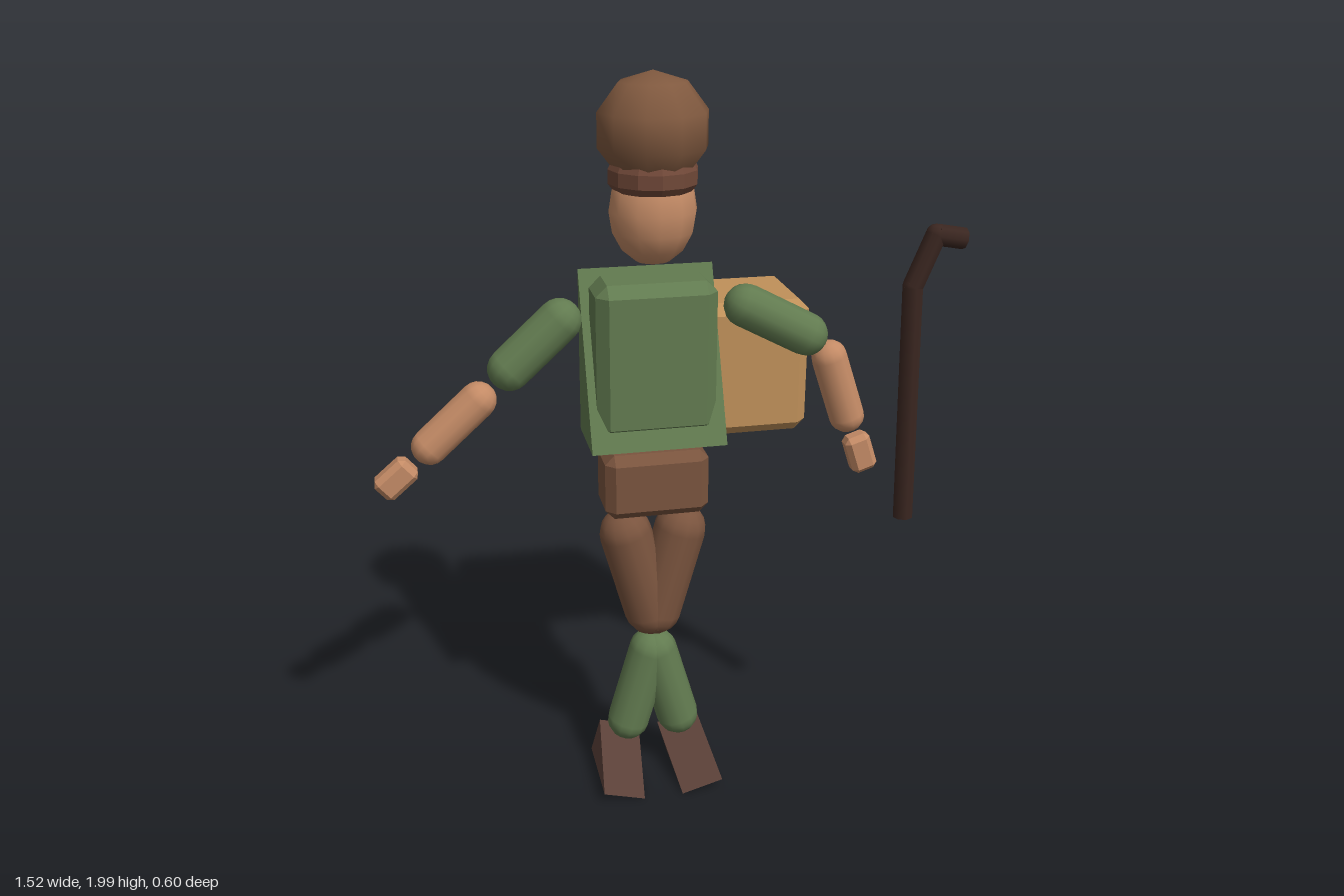
import * as THREE from 'three';
import { ConvexGeometry } from 'three/addons/geometries/ConvexGeometry.js';

const GREEN = 0x627b50, BROWN = 0x7a543e, SKIN = 0xc48b66, HAT = 0x80593f;
const BAND = 0x704838, BOOT = 0x5a4038, TAN = 0xc0915a, DARK = 0x3a2620;
const CX = -0.027, CZ = 0.14; // body axis

export function createModel() {
  const group = new THREE.Group();

  function add(name, geometry, color, x = 0, y = 0, z = 0, flatShading = false) {
    const mesh = new THREE.Mesh(geometry, new THREE.MeshStandardMaterial({ color, flatShading }));
    mesh.name = name;
    mesh.position.set(x, y, z);
    group.add(mesh);
    return mesh;
  }

  // Box with chamfered edges
  function chamferBox(w, h, d, b) {
    const points = [];
    for (const i of [-1, 1]) for (const j of [-1, 1]) for (const k of [-1, 1]) {
      const x = i * w / 2, y = j * h / 2, z = k * d / 2;
      points.push(
        new THREE.Vector3(x, y - j * b, z - k * b),
        new THREE.Vector3(x - i * b, y, z - k * b),
        new THREE.Vector3(x - i * b, y - j * b, z));
    }
    return new ConvexGeometry(points);
  }

  // Ramp, tall at the back (z = 0), thin edge at the front (z = d), bottom at y = 0
  function wedge(w, h, d) {
    const s = new THREE.Shape([
      new THREE.Vector2(0, 0), new THREE.Vector2(d, 0), new THREE.Vector2(0, h)]);
    return new THREE.ExtrudeGeometry(s, { depth: w, bevelEnabled: false })
      .translate(0, 0, -w / 2).rotateY(-Math.PI / 2);
  }

  // Capsule or cylinder between two points in a plane of constant z
  function rod(name, color, r, x1, y1, x2, y2, z = CZ, capped = true) {
    const length = Math.hypot(x2 - x1, y2 - y1);
    const geometry = capped
      ? new THREE.CapsuleGeometry(r, length, 5, 12)
      : new THREE.CylinderGeometry(r, r, length, 8);
    const mesh = add(name, geometry, color, (x1 + x2) / 2, (y1 + y2) / 2, z);
    mesh.rotation.z = Math.atan2(y2 - y1, x2 - x1) - Math.PI / 2;
    return mesh;
  }

  // Head and cap
  add('head', new THREE.SphereGeometry(1, 12, 8), SKIN, CX, 1.66, CZ).scale.set(0.113, 0.14, 0.103);
  add('capCrown', new THREE.SphereGeometry(1, 10, 5), HAT, CX, 1.86, CZ).scale.set(0.147, 0.14, 0.147);
  const bandProfile = [[0, 1.712], [0.1, 1.712], [0.114, 1.73], [0.114, 1.765], [0.104, 1.785], [0, 1.785]];
  add('capBand', new THREE.LatheGeometry(bandProfile.map(p => new THREE.Vector2(...p)), 12),
    BAND, CX, 0, CZ, true);

  // Torso, sloped coat and hips
  add('torso', chamferBox(0.316, 0.41, 0.16, 0.03), GREEN, CX, 1.28, 0.142, true);
  add('coat', wedge(0.358, 0.443, 0.195), GREEN, CX, 1.05, 0.045, true);
  add('hips', chamferBox(0.28, 0.182, 0.162, 0.025), BROWN, CX, 0.935, CZ, true);

  // Legs and feet, mirrored about the body axis
  for (const [side, s] of [['left', 1], ['right', -1]]) {
    rod(side + 'Thigh', BROWN, 0.072, CX + s * 0.076, 0.773, CX + s * 0.008, 0.53);
    rod(side + 'Shin', GREEN, 0.06, CX + s * 0.008, 0.4, CX + s * 0.072, 0.178);
    const foot = add(side + 'Foot', wedge(0.12, 0.1, 0.225), BOOT, CX + s * 0.113, 0.022, 0.07, true);
    foot.rotation.z = s * 0.27;
  }

  // Arms: upper arm, forearm and hand, each as end points (hand as centre and tilt)
  const arms = {
    right: { upper: [-0.27, 1.387, -0.4, 1.268], fore: [-0.485, 1.188, -0.613, 1.072], hand: [-0.705, 0.99, -0.86] },
    left: { upper: [0.22, 1.397, 0.388, 1.308], fore: [0.456, 1.238, 0.513, 1.07], hand: [0.557, 0.957, 0.32] },
  };
  for (const [side, arm] of Object.entries(arms)) {
    rod(side + 'UpperArm', GREEN, 0.058, ...arm.upper);
    rod(side + 'Forearm', SKIN, 0.049, ...arm.fore);
    const [x, y, tilt] = arm.hand;
    add(side + 'Hand', chamferBox(0.072, 0.11, 0.058, 0.014), SKIN, x, y, CZ, true).rotation.z = tilt;
  }

  // Pack behind the shoulder
  add('pack', chamferBox(0.495, 0.385, 0.3, 0.03), TAN, 0.203, 1.163, -0.15, true);

  // Walking stick with a bent handle
  const stick = [[0.645, 0.81], [0.625, 1.46], [0.678, 1.592], [0.755, 1.578]];
  for (let i = 0; i < 3; i++) {
    rod('stick' + (i + 1), DARK, 0.028, ...stick[i], ...stick[i + 1], 0.267, false);
    if (i) add('stickJoint' + i, new THREE.SphereGeometry(0.028, 8, 6), DARK, ...stick[i], 0.267);
  }
  return group;
}
